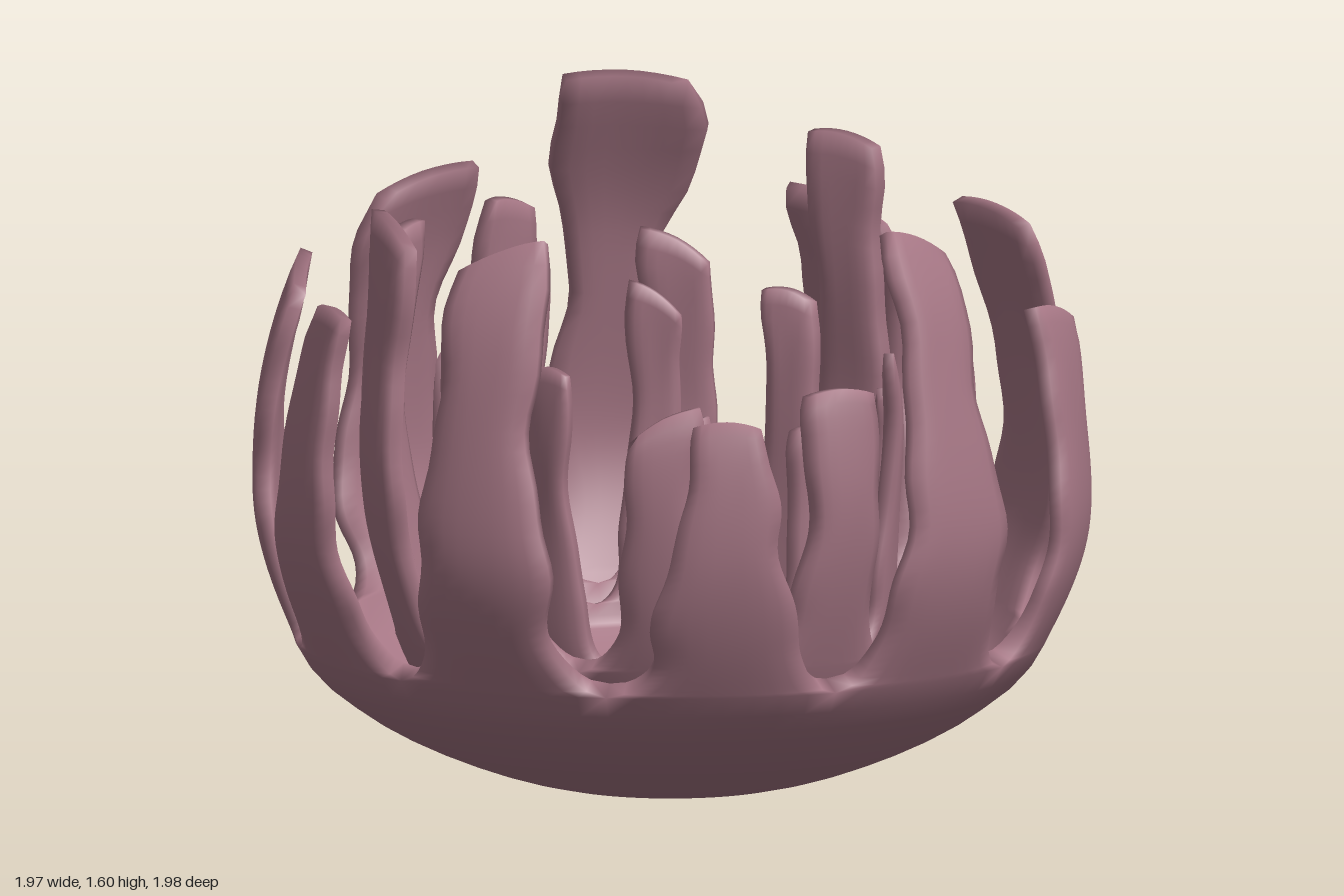
import * as THREE from 'three';
import { mergeVertices } from 'three/addons/utils/BufferGeometryUtils.js';

const COLS = 8, BOWL_ROWS = 14, PETAL_ROWS = 30, PETALS = 10;
const RAD = Math.PI / 180, STEP = 360 / PETALS;

// Radius and outward normal of a profile of [radius, y] points at a given height
function makeProfile(points) {
  const pts = new THREE.SplineCurve(points.map(([r, y]) => new THREE.Vector2(r, y))).getPoints(300);
  return (y) => {
    let i = 1;
    while (i < pts.length - 1 && pts[i].y < y) i++;
    const a = pts[i - 1], b = pts[i];
    const k = (y - a.y) / Math.max(b.y - a.y, 1e-6);
    const d = b.clone().sub(a).normalize();
    const r = Math.max(0, THREE.MathUtils.lerp(a.x, b.x, k));
    return r < 1e-3 ? { r: 0, nr: 0, ny: -1 } : { r, nr: d.y, ny: -d.x };
  };
}

// A shell is a ring of ten wedges: joined below the notch, separate petals above it
function buildShell({ profile, notch, thick, firstAngle, halfWidth, heights, tipWidth, seed }) {
  const at = makeProfile(profile);
  const base = profile[0][1];
  const rows = BOWL_ROWS + PETAL_ROWS;
  const ring = 2 * (COLS + 1);
  const pos = [], idx = [];

  heights.forEach((height, p) => {
    const start = pos.length / 3;
    const angle = firstAngle + p * STEP;
    const phase = seed * 2.1 + p * 1.7;
    const twist = 0.02 * (p % 2 ? -1 : 1);

    for (let i = 0; i <= rows; i++) {
      const t = Math.max(0, (i - BOWL_ROWS) / PETAL_ROWS);
      const y = i <= BOWL_ROWS
        ? base + (notch - base) * (i / BOWL_ROWS) ** 2
        : notch + (height - notch) * (0.35 * t * t + 0.65 * t ** 1.2);
      // rounded notch, wavy sides, then the shaped tip
      const q = Math.min(1, Math.max(0, (y - notch) / 0.14));
      const flare = 1 - Math.sqrt(1 - (1 - q) ** 2);
      const waist = 1 - 0.32 * THREE.MathUtils.smoothstep(t, 0.3, 0.75);
      const body = THREE.MathUtils.lerp(halfWidth * waist, tipWidth(p), THREE.MathUtils.smoothstep(t, 0.72, 0.97));
      const round = t > 0.95 ? 1 - 0.12 * (t - 0.95) / 0.05 : 1;

      for (let k = 0; k < ring; k++) {
        const outer = k <= COLS;
        const u = ((outer ? k : ring - 1 - k) / COLS) * 2 - 1;
        const side = phase + (u < 0 ? 0 : 2);
        const wave = 1 + 0.08 * Math.sin(y * 13 + side) + 0.04 * Math.sin(y * 27 + side * 2);
        const width = THREE.MathUtils.lerp(body * wave * round, STEP / 2, flare);
        const a = (angle + u * width) * RAD;
        // slanted tip and thinner, rounded edges
        const yy = y + Math.sin(phase * 3) * 0.04 * u * t ** 4 - 0.015 * u * u * t ** 6;
        const s = at(yy);
        const thin = thick * 0.25 * Math.max((1 - flare) * u ** 4, t ** 16);
        const inset = outer ? thin : thick - thin;
        const r = Math.max(0, s.r - s.nr * inset + twist * u * t * t + 0.006 * Math.sin(y * 9 + phase) * t);
        pos.push(r * Math.sin(a), yy - s.ny * inset, r * Math.cos(a));
      }
    }

    // skins everywhere, side walls only above the notch
    const id = (i, k) => start + i * ring + (k % ring);
    const quad = (a, b, c, d) => idx.push(a, b, c, a, c, d);
    for (let i = 0; i < rows; i++) {
      for (let k = 0; k < ring; k++) {
        if (i < BOWL_ROWS && (k === COLS || k === ring - 1)) continue;
        quad(id(i, k), id(i, k + 1), id(i + 1, k + 1), id(i + 1, k));
      }
    }
    // tip cap
    for (let j = 0; j < COLS; j++) {
      quad(id(rows, j), id(rows, j + 1), id(rows, ring - 2 - j), id(rows, ring - 1 - j));
    }
  });

  const geo = new THREE.BufferGeometry();
  geo.setAttribute('position', new THREE.Float32BufferAttribute(pos, 3));
  geo.setIndex(idx);
  const merged = mergeVertices(geo, 1e-4);
  merged.computeVertexNormals();
  return merged;
}

export function createModel() {
  const group = new THREE.Group();
  group.name = 'petalBowl';
  const material = new THREE.MeshStandardMaterial({ color: 0xa57684 });
  const addShell = (name, options) => {
    const mesh = new THREE.Mesh(buildShell(options), material);
    mesh.name = name;
    group.add(mesh);
  };

  // tall outer petals, the one at the back highest and widest at its tip
  addShell('outerShell', {
    profile: [[0, 0], [0.3, 0.03], [0.55, 0.11], [0.75, 0.22], [0.88, 0.36], [0.99, 0.7], [0.92, 1.2], [0.75, 1.6]],
    notch: 0.36, thick: 0.06, firstAngle: -9, halfWidth: 10.5, seed: 0,
    heights: [1.03, 1.42, 1.18, 1.34, 1.29, 1.6, 1.38, 1.23, 1.22, 1.41],
    tipWidth: (p) => (p === 5 ? 14 : p === 0 ? 5 : p > 2 && p < 7 ? 10 : 7.5),
  });

  // middle petals stand behind the outer gaps
  addShell('middleShell', {
    profile: [[0, 0.07], [0.3, 0.11], [0.5, 0.2], [0.63, 0.34], [0.74, 0.8], [0.69, 1.5]],
    notch: 0.38, thick: 0.06, firstAngle: 17.5, halfWidth: 9.5, seed: 1,
    heights: [1.05, 1.28, 1.05, 1.48, 1.2, 1.32, 1.3, 1.38, 1.12, 1],
    tipWidth: () => 7.5,
  });

  // narrow inner petals around the floor of the bowl
  addShell('innerShell', {
    profile: [[0, 0.14], [0.25, 0.17], [0.43, 0.25], [0.52, 0.37], [0.56, 0.85], [0.53, 1.3]],
    notch: 0.36, thick: 0.05, firstAngle: 22.5, halfWidth: 9, seed: 2,
    heights: [0.94, 1.05, 0.92, 1.12, 1.1, 1.2, 1.05, 1.12, 1.08, 0.95],
    tipWidth: () => 7,
  });
  return group;
}
